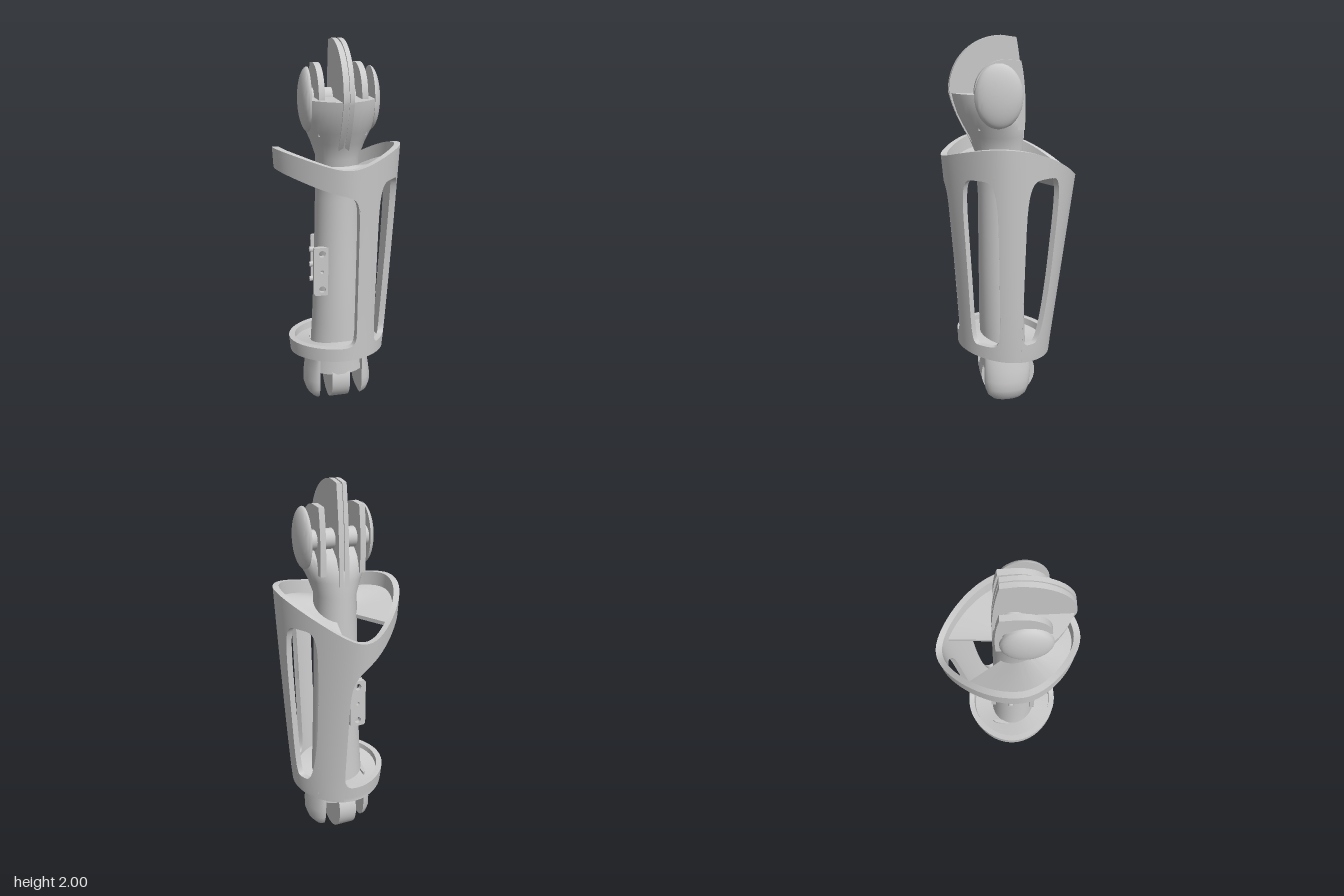
import * as THREE from 'three';
import { toCreasedNormals } from 'three/addons/utils/BufferGeometryUtils.js';

const material = new THREE.MeshStandardMaterial({ color: 0xcccccc });
const V = (x, y, z) => new THREE.Vector3(x, y, z);
const rad = THREE.MathUtils.degToRad;

function add(parent, name, geometry, x = 0, y = 0, z = 0) {
  const mesh = new THREE.Mesh(toCreasedNormals(geometry, 0.6), material);
  mesh.name = name;
  mesh.position.set(x, y, z);
  parent.add(mesh);
}

// Capped solid through a series of closed loops
function loft(sections) {
  const L = sections[0].length, index = [], n = sections.length;
  for (let i = 0; i < n - 1; i++) for (let j = 0; j < L; j++) {
    const a = i * L + j, b = i * L + (j + 1) % L;
    index.push(a, b, b + L, a, b + L, a + L);
  }
  const end = (n - 1) * L;
  for (let i = 0; i < L / 2 - 1; i++) {
    const p = L - 1 - i;
    index.push(i, p, i + 1, i + 1, p, p - 1);
    index.push(end + i, end + i + 1, end + p, end + i + 1, end + p - 1, end + p);
  }
  const g = new THREE.BufferGeometry().setFromPoints(sections.flat());
  g.setIndex(index);
  return g;
}

// Egg-shaped cuff surface at angle a (from +x towards +z) and height y
function cuffPoint(a, y, inset = 0) {
  const t = Math.max(0, (y - 0.3) / 1.1), c = Math.cos(a), s = Math.sin(a);
  const rx = 0.255 + 0.073 * t ** 0.8 - inset, zc = 0.035 + 0.01 * t;
  const rz = (s > 0 ? 0.29 + 0.07 * t ** 1.3 - zc : zc + 0.22 + 0.152 * t) - inset;
  return V(rx * c * (1 - (0.08 + 0.24 * t) * s * s), y, zc + rz * s);
}
const cuffTop = a => {
  const s = Math.sin(a), z = 0.04 + (s > 0 ? 0.32 : 0.4) * s;
  return 1.466 + 0.18 * z - 0.96 * z * z;
};
const cuffBottom = a => 0.318 + 0.033 * Math.sin(a);
const MID = 0.865;

// Curved wall between two angles, bounded by height functions of u = -1..1
function wall(parent, name, from, to, low, high, steps) {
  const sections = [];
  for (let i = 0; i <= steps; i++) {
    const u = -Math.cos(Math.PI * i / steps);
    const a = rad(from + (to - from) * (u + 1) / 2);
    const y0 = low(u, a), y1 = high(u, a), rows = 12, outer = [], inner = [];
    for (let j = 0; j <= rows; j++) {
      const y = y0 + (y1 - y0) * j / rows;
      outer.push(cuffPoint(a, y));
      inner.unshift(cuffPoint(a, y, 0.032));
    }
    sections.push([...outer, ...inner]);
  }
  add(parent, name, loft(sections));
}

// Sloping web between the core and the cuff
function web(parent, name, from, to, outerY, innerY) {
  const sections = [], steps = 60;
  for (let i = 0; i <= steps; i++) {
    const a = rad(from + (to - from) * i / steps);
    const yo = outerY(a), yi = innerY(a);
    const inner = y => V(0.1 * Math.cos(a), y, 0.05 + 0.1 * Math.sin(a));
    sections.push([cuffPoint(a, yo, 0.015), cuffPoint(a, yo + 0.02, 0.015), inner(yi + 0.02), inner(yi)]);
  }
  add(parent, name, loft(sections));
}

// Half ellipsoid bulging sideways
function dome(parent, name, side, x, y, z, rx, ry, rz) {
  const profile = [new THREE.Vector2(0, 0)];
  for (let i = 0; i <= 12; i++) {
    const t = Math.PI / 2 * i / 12;
    profile.push(new THREE.Vector2(i === 12 ? 0 : Math.cos(t), Math.sin(t)));
  }
  const g = new THREE.LatheGeometry(profile, 36);
  g.rotateZ(-side * Math.PI / 2);
  g.scale(rx, ry, rz);
  add(parent, name, g, side * x, y, z);
}

// Rounded fork prong, flat on its inner side: [y, outer x, back z, front z]
function prong(parent, side) {
  const rows = [[0.035, 0.135, 0.0, 0.08], [0.045, 0.155, -0.04, 0.118], [0.07, 0.175, -0.068, 0.145],
    [0.11, 0.188, -0.083, 0.16], [0.16, 0.187, -0.09, 0.165], [0.22, 0.178, -0.095, 0.165],
    [0.29, 0.163, -0.09, 0.165], [0.36, 0.147, -0.085, 0.165]];
  add(parent, 'prong', loft(rows.map(([y, x, zb, zf]) => {
    const arc = [];
    for (let i = 0; i <= 17; i++) {
      const a = side * Math.PI * (0.5 - i / 17);
      arc.push(V(side * (0.118 + (x - 0.118) * Math.cos(a)), y, (zb + zf) / 2 + (zf - zb) / 2 * Math.sin(a)));
    }
    return arc;
  })));
}

// Plate drawn in (z, y), with its thickness along x
function sidePlate(parent, name, shape, x, thickness) {
  const g = new THREE.ExtrudeGeometry(shape, { depth: thickness, bevelEnabled: false, curveSegments: 20 });
  g.translate(0, 0, -thickness / 2);
  g.rotateY(-Math.PI / 2);
  add(parent, name, g, x);
}

// Small mounting plate with three screw holes
function screwPlate(parent, name, x, y, z) {
  const w = 0.045, h = 0.135, r = 0.015, s = new THREE.Shape();
  s.absarc(w - r, h - r, r, 0, Math.PI / 2);
  s.absarc(-w + r, h - r, r, Math.PI / 2, Math.PI);
  s.absarc(-w + r, -h + r, r, Math.PI, Math.PI * 1.5);
  s.absarc(w - r, -h + r, r, Math.PI * 1.5, Math.PI * 2);
  for (const [hy, hr] of [[-0.1, 0.018], [0, 0.01], [0.1, 0.018]])
    s.holes.push(new THREE.Path().absarc(0, hy, hr, 0, Math.PI * 2, true));
  add(parent, name, new THREE.ExtrudeGeometry(s, { depth: 0.025, bevelEnabled: false }), x, y, z);
}

export function createModel() {
  const model = new THREE.Group();
  model.name = 'jointedLimb';

  // Core column flaring into the joints: [y, half width, back z, widest z, front z, front taper]
  const rows = [[0.2, 0.16, -0.095, 0.035, 0.165, 0], [0.36, 0.145, -0.085, 0.04, 0.165, 0],
    [0.5, 0.137, -0.08, 0.045, 0.17, 0], [0.8, 0.125, -0.072, 0.05, 0.17, 0], [1.2, 0.115, -0.07, 0.05, 0.17, 0],
    [1.42, 0.112, -0.07, 0.055, 0.185, 0], [1.5, 0.14, -0.07, 0.06, 0.217, 0.1], [1.56, 0.168, -0.065, 0.07, 0.25, 0.2],
    [1.62, 0.189, -0.035, 0.08, 0.28, 0.35], [1.68, 0.198, 0.04, 0.09, 0.3, 0.45], [1.72, 0.192, 0.085, 0.1, 0.309, 0.5]];
  add(model, 'core', loft(rows.map(([y, rx, zb, zc, zf, k]) => {
    const ring = [];
    for (let i = 0; i < 40; i++) {
      const a = -i / 40 * Math.PI * 2, c = Math.cos(a), s = Math.sin(a);
      ring.push(V(rx * c * Math.abs(c) ** (s > 0 ? k : 0), y, zc + (s > 0 ? zf - zc : zc - zb) * s));
    }
    return ring;
  })));

  // Cuff: struts, and the bands above and below each opening
  const cuff = new THREE.Group();
  cuff.name = 'cuff';
  model.add(cuff);
  const bottom = (u, a) => cuffBottom(a), top = (u, a) => cuffTop(a);
  for (const [name, from, to] of [['backStrut', -75, -43], ['sideStrut', -11, 14], ['frontStrut', 51, 77]])
    wall(cuff, name, from, to, bottom, top, 10);
  const arch = (u, p) => Math.max(0, 1 - Math.abs(u) ** p) ** (1 / p);
  for (const [from, to, corner] of [[-43, -11, 2.2], [14, 51, 7]]) {
    wall(cuff, 'windowSill', from, to, bottom, u => MID - 0.455 * arch(u, u < 0 ? corner : 7), 28);
    wall(cuff, 'windowHead', from, to, u => MID + 0.45 * arch(u, 4.5), top, 28);
  }
  wall(cuff, 'lowerBand', 77, 285, bottom, (u, a) => MID - (MID - 0.4 - 0.025 * Math.sin(a)) * arch(u, 18), 72);
  wall(cuff, 'upperBand', 77, 285,
    (u, a) => MID + (cuffTop(a) - 0.105 - 0.02 * Math.sin(a) - MID) * arch(u, u < 0 ? 10 : 3.6), top, 72);
  web(cuff, 'upperWeb', -70, 222, a => cuffTop(a) - 0.09, a => 1.325 + 0.05 * Math.sin(a));
  web(cuff, 'lowerWeb', 0, 360, a => cuffBottom(a) + 0.03, a => cuffBottom(a) + 0.03);

  // Upper joint: layered centre fin, ribs, cheeks and axle
  const upper = new THREE.Group();
  upper.name = 'upperJoint';
  model.add(upper);
  const fin = new THREE.Shape();
  fin.moveTo(-0.07, 1.48);
  fin.lineTo(0.195, 1.46);
  fin.quadraticCurveTo(0.285, 1.6, 0.312, 1.72);
  fin.bezierCurveTo(0.32, 1.88, 0.19, 2.0, 0.04, 2.0);
  fin.lineTo(-0.03, 1.99);
  fin.bezierCurveTo(-0.055, 1.85, -0.07, 1.7, -0.07, 1.48);
  for (const s of [-1, 1]) sidePlate(upper, 'finPlate', fin, s * 0.0155, 0.023);
  const seam = new THREE.ExtrudeGeometry(fin, { depth: 0.01, bevelEnabled: false, curveSegments: 20 });
  seam.translate(-0.1, -1.7, -0.005);
  seam.scale(0.96, 0.97, 1);
  seam.rotateY(-Math.PI / 2);
  add(upper, 'finSeam', seam, 0, 1.7, 0.1);

  const rib = new THREE.Shape();
  rib.moveTo(-0.055, 1.54);
  rib.lineTo(0.18, 1.54);
  rib.lineTo(0.2, 1.72);
  rib.bezierCurveTo(0.2, 1.82, 0.13, 1.885, 0.04, 1.885);
  rib.lineTo(-0.035, 1.88);
  rib.quadraticCurveTo(-0.065, 1.75, -0.055, 1.54);
  for (const s of [-1, 1]) {
    sidePlate(upper, 'rib', rib, s * 0.107, 0.03);
    dome(upper, 'cheek', s, 0.156, 1.71, 0.083, 0.048, 0.16, 0.122);
  }
  const axle = new THREE.CylinderGeometry(0.052, 0.052, 0.33, 28);
  axle.rotateZ(Math.PI / 2);
  add(upper, 'axle', axle, 0, 1.71, 0.03);

  // Lower joint: centre disc between two rounded prongs
  const lower = new THREE.Group();
  lower.name = 'lowerJoint';
  model.add(lower);
  const disc = new THREE.CylinderGeometry(0.152, 0.152, 0.1, 40);
  disc.rotateZ(Math.PI / 2);
  add(lower, 'centreDisc', disc, 0, 0.157, 0.018);
  for (const s of [-1, 1]) prong(lower, s);

  // Mounting plates and hinge knobs on the core
  screwPlate(model, 'frontPlate', -0.1, 0.815, 0.125);
  screwPlate(model, 'backPlate', -0.075, 0.815, -0.09);
  for (const y of [0.73, 0.815, 0.9]) {
    const knob = new THREE.CylinderGeometry(0.014, 0.014, 0.04, 14);
    knob.rotateZ(Math.PI / 2);
    add(model, 'hingeKnob', knob, -0.125, y, 0.02);
  }
  return model;
}
